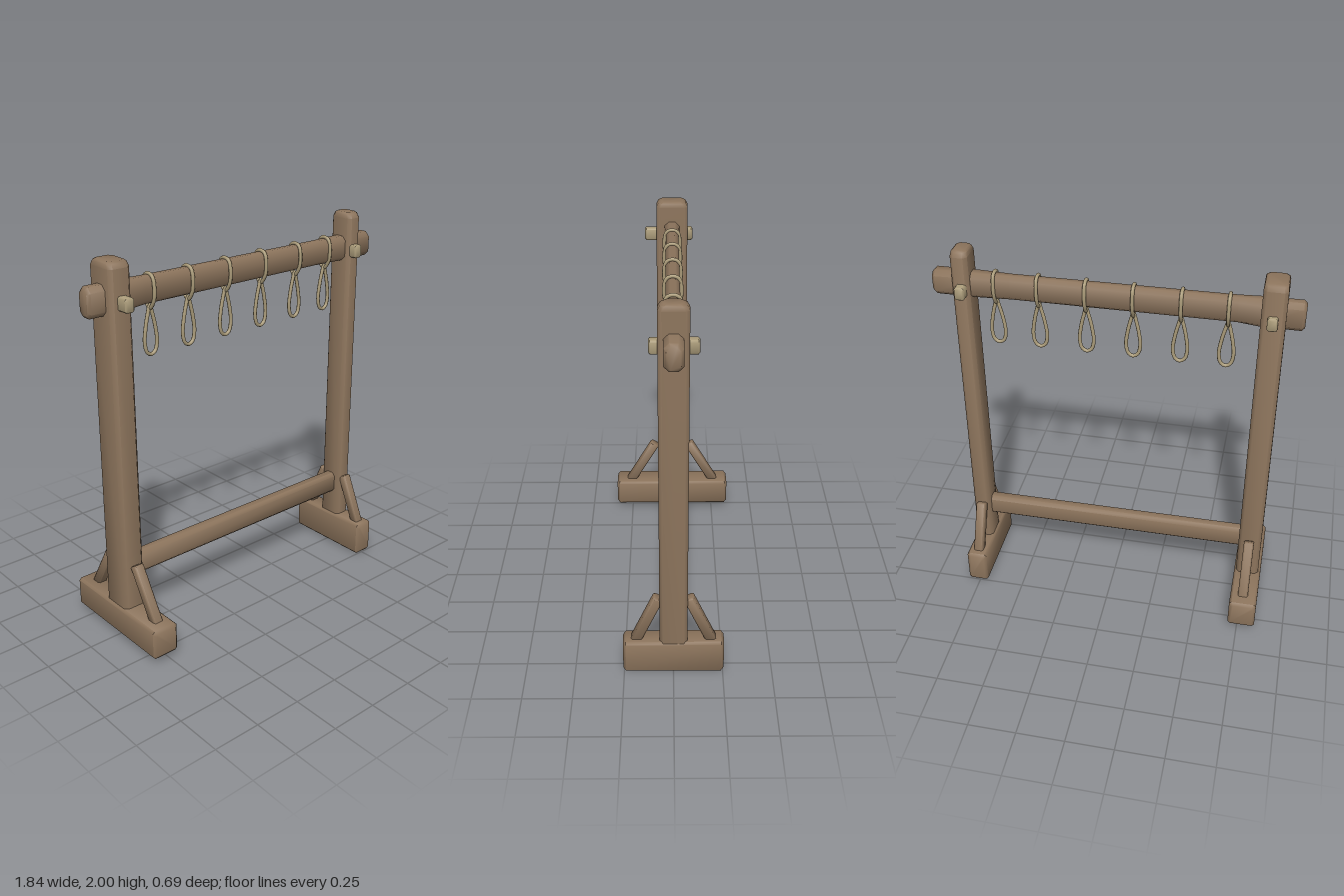
import * as THREE from 'three';
import { toCreasedNormals } from 'three/addons/utils/BufferGeometryUtils.js';

// Chamfered eight-sided timber along +y; each ring is [y, halfX, halfZ, chamfer, centreX]
function timberGeometry(rings) {
  const pos = [], index = [];
  for (const [y, a, b, c, cx = 0] of rings) {
    const corners = [[a, b - c], [a - c, b], [c - a, b], [-a, b - c], [-a, c - b], [c - a, -b], [a - c, -b], [a, c - b]];
    for (const [x, z] of corners) pos.push(x + cx, y, z);
  }
  for (let r = 0; r < rings.length - 1; r++) {
    for (let i = 0; i < 8; i++) {
      const p = r * 8 + i, q = r * 8 + (i + 1) % 8;
      index.push(p, q + 8, q, p, p + 8, q + 8);
    }
  }
  const top = (rings.length - 1) * 8;
  for (let i = 1; i < 7; i++) {
    index.push(0, i, i + 1, top, top + i + 1, top + i);
  }
  // The rings run clockwise seen from above, so flip every face outward
  for (let i = 0; i < index.length; i += 3) [index[i + 1], index[i + 2]] = [index[i + 2], index[i + 1]];
  fixOutward(pos, index);
  const g = new THREE.BufferGeometry();
  g.setAttribute('position', new THREE.Float32BufferAttribute(pos, 3));
  g.setIndex(index);
  return toCreasedNormals(g, 0.85);
}

// Make the whole closed solid face outward by checking its signed volume
function fixOutward(pos, index) {
  const v = (i) => new THREE.Vector3(pos[3 * i], pos[3 * i + 1], pos[3 * i + 2]);
  let volume = 0;
  for (let i = 0; i < index.length; i += 3) {
    volume += v(index[i]).dot(v(index[i + 1]).cross(v(index[i + 2])));
  }
  if (volume < 0) for (let i = 0; i < index.length; i += 3) [index[i + 1], index[i + 2]] = [index[i + 2], index[i + 1]];
}

// Straight timber from y = 0 to length, with bevelled ends
function straight(length, a, b, c, bevel = 0.015) {
  return timberGeometry([
    [0, a - bevel, b - bevel, c * 0.7],
    [bevel, a, b, c],
    [length - bevel, a, b, c],
    [length, a - bevel, b - bevel, c * 0.7],
  ]);
}

export function createModel() {
  const wood = new THREE.MeshStandardMaterial({ color: 0x8c745c });
  wood.name = 'brown wood';
  const pale = new THREE.MeshStandardMaterial({ color: 0xab9c7a });
  pale.name = 'pale rope and pegs';

  const model = new THREE.Group();
  model.name = 'hangingRack';
  const add = (parent, name, geometry, material, x = 0, y = 0, z = 0) => {
    const mesh = new THREE.Mesh(geometry, material);
    mesh.name = name;
    mesh.position.set(x, y, z);
    parent.add(mesh);
    return mesh;
  };

  // Two uneven end frames: foot, post, two braces and a peg
  const frames = [
    { name: 'rightFrame', x: -0.77, postW: 0.06, postD: 0.086, top: 1.985, footX: -0.772, footW: 0.073, footL: 0.345,
      footY: 0.03, braceX: -0.767, braceOut: 0.27, braceIn: 0.105, pegX: -0.768, pegBack: -0.115, pegFront: 0.15 },
    { name: 'leftFrame', x: 0.764, postW: 0.045, postD: 0.07, top: 2.0, footX: 0.76, footW: 0.056, footL: 0.255,
      footY: 0, braceX: 0.76, braceOut: 0.2, braceIn: 0.075, pegX: 0.758, pegBack: -0.115, pegFront: 0.11 },
  ];
  for (const f of frames) {
    const frame = new THREE.Group();
    frame.name = f.name;
    model.add(frame);

    const footH = 0.19 - f.footY;
    const foot = add(frame, 'foot', straight(2 * f.footL, f.footW, footH / 2, 0.012, 0.014), wood,
      f.footX, f.footY + footH / 2, -f.footL);
    foot.rotation.x = Math.PI / 2;

    const postH = f.top - 0.15;
    add(frame, 'post', timberGeometry([
      [0, f.postW + 0.002, f.postD, 0.018],
      [postH - 0.03, f.postW - 0.001, f.postD, 0.018],
      [postH - 0.008, f.postW - 0.005, f.postD - 0.012, 0.018],
      [postH, f.postW - 0.014, f.postD - 0.026, 0.015],
    ]), wood, f.x, 0.15, 0);

    for (const side of [-1, 1]) {
      const lower = new THREE.Vector3(f.braceX, 0.155, side * f.braceOut);
      const upper = new THREE.Vector3(f.braceX, 0.44, side * f.braceIn);
      const direction = upper.clone().sub(lower);
      const brace = add(frame, side > 0 ? 'frontBrace' : 'backBrace',
        straight(direction.length(), 0.027, 0.026, 0.008, 0.006), wood, lower.x, lower.y, lower.z);
      brace.rotation.x = Math.atan2(direction.z, direction.y);
    }

    const peg = add(frame, 'peg', straight(f.pegFront - f.pegBack, 0.025, 0.034, 0.008, 0.008), pale,
      f.pegX, 1.795, f.pegBack);
    peg.rotation.x = Math.PI / 2;
  }

  // Top beam, thinner between the posts
  const topBeam = add(model, 'topBeam', timberGeometry([
    [-0.92, 0.06, 0.03, 0.018, 0.002],
    [-0.905, 0.074, 0.043, 0.025, 0.002],
    [-0.72, 0.074, 0.043, 0.025, 0.002],
    [-0.6, 0.067, 0.034, 0.02, -0.002],
    [0.52, 0.064, 0.034, 0.02, 0],
    [0.7, 0.066, 0.043, 0.022, 0],
    [0.905, 0.066, 0.045, 0.025, 0],
    [0.92, 0.052, 0.032, 0.018, 0],
  ]), wood, 0, 1.806, 0);
  topBeam.rotation.set(0, 0, -Math.PI / 2);

  // Lower rail between the posts
  const rail = add(model, 'lowerRail', straight(1.5, 0.061, 0.036, 0.018), wood, -0.75, 0.39, 0);
  rail.rotation.z = -Math.PI / 2;

  // Rope loops: an oval ring around the beam with a teardrop hanging below
  const closedRope = (points) => new THREE.TubeGeometry(
    new THREE.CatmullRomCurve3(points.map((p) => new THREE.Vector3(...p)), true), 40, 0.0095, 8, true);
  const ringGeometry = closedRope([
    [0, 1.88, 0], [0, 1.868, 0.03], [0, 1.81, 0.043], [0, 1.75, 0.033],
    [0, 1.712, 0], [0, 1.75, -0.033], [0, 1.81, -0.043], [0, 1.868, -0.03],
  ]);
  const dropGeometry = closedRope([
    [0, 1.728, 0], [0.012, 1.69, 0], [0.028, 1.62, 0], [0.036, 1.545, 0], [0.024, 1.496, 0],
    [0, 1.482, 0], [-0.024, 1.496, 0], [-0.036, 1.545, 0], [-0.028, 1.62, 0], [-0.012, 1.69, 0],
  ]);
  for (const x of [-0.557, -0.328, -0.092, 0.145, 0.386, 0.604]) {
    const loop = new THREE.Group();
    loop.name = 'ropeLoop';
    loop.position.x = x;
    add(loop, 'beamRing', ringGeometry, pale);
    add(loop, 'hangingLoop', dropGeometry, pale);
    model.add(loop);
  }
  return model;
}
